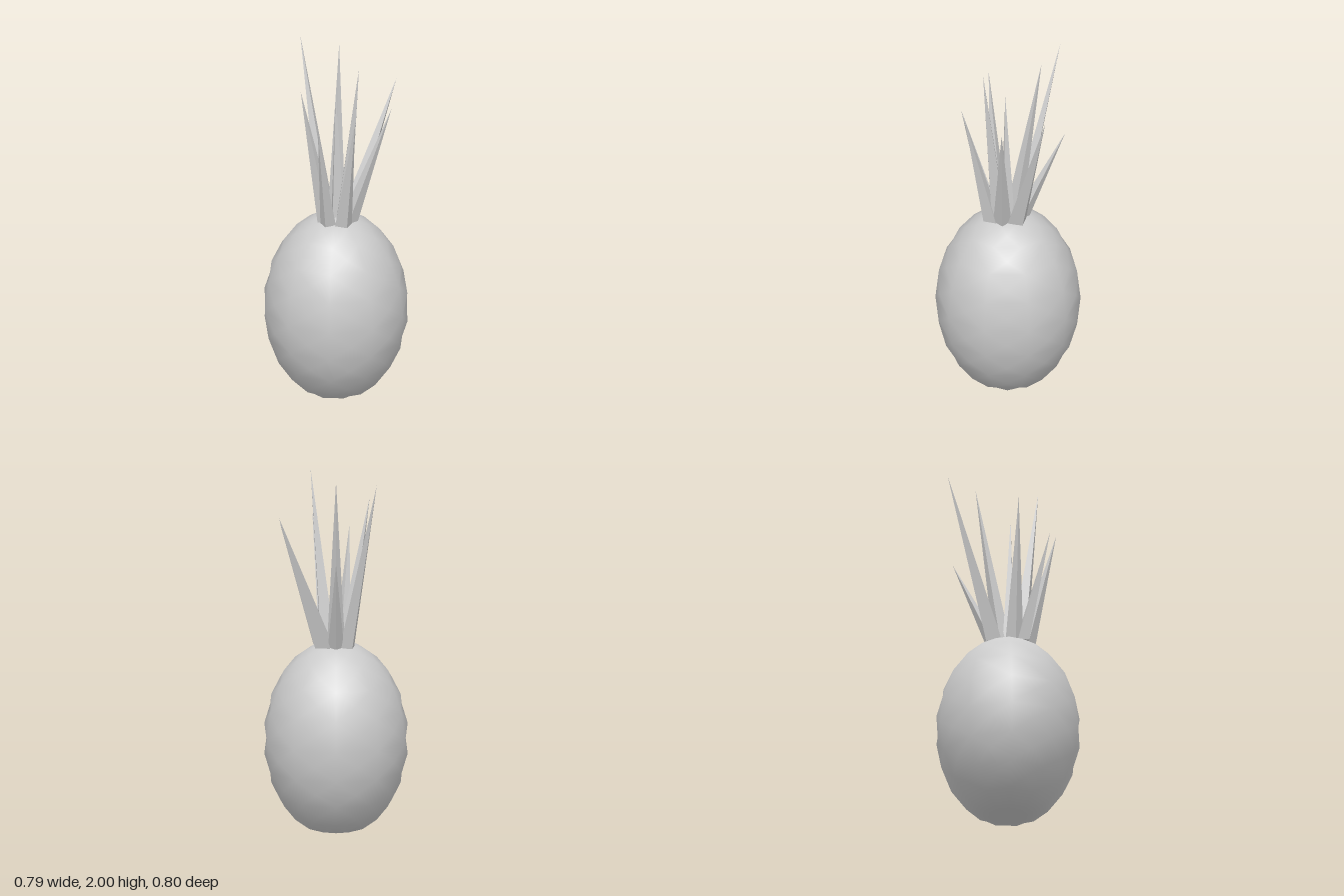
import * as THREE from 'three';

const SIDES = 10, STACKS = 10, RADIUS = 0.4, HALF = 0.55, CENTRE = 0.51;
const material = (options = {}) => new THREE.MeshStandardMaterial({ color: 0xcccccc, ...options });

// Ellipsoid of quads, each raised to a point at its middle; the underside is flattened at y = 0
function bodyGeometry() {
  const positions = [], index = [];
  const addPoint = (row, column) => {
    const lat = (row / STACKS - 0.5) * Math.PI, lon = column / SIDES * Math.PI * 2;
    const r = RADIUS * Math.cos(lat);
    positions.push(r * Math.sin(lon), Math.max(0, CENTRE + HALF * Math.sin(lat)), r * Math.cos(lon));
    return positions.length / 3 - 1;
  };
  const bottom = addPoint(0, 0), top = addPoint(STACKS, 0);
  const rings = [];
  for (let row = 1; row < STACKS; row++) {
    rings.push(Array.from({ length: SIDES }, (_, column) => addPoint(row, column)));
  }
  for (let i = 0; i < SIDES; i++) {
    const next = (i + 1) % SIDES;
    for (let k = 0; k < rings.length - 1; k++) {
      const a = rings[k][i], b = rings[k][next], c = rings[k + 1][next], d = rings[k + 1][i];
      const middle = addPoint(k + 1.5, i + 0.5);
      index.push(a, b, middle, b, c, middle, c, d, middle, d, a, middle);
    }
    const last = rings[rings.length - 1];
    index.push(bottom, rings[0][next], rings[0][i], top, last[i], last[next]);
  }
  const geometry = new THREE.BufferGeometry();
  geometry.setAttribute('position', new THREE.Float32BufferAttribute(positions, 3));
  geometry.setIndex(index);
  geometry.computeVertexNormals();
  return geometry;
}

// Four-sided spike leaning from its base centre to its tip
function leafGeometry([bx, bz, tx, ty, tz, radius]) {
  const baseY = 1.035, height = ty - baseY;
  const geometry = new THREE.ConeGeometry(radius, height, 4);
  geometry.rotateY(Math.atan2(tx - bx, tz - bz));
  geometry.translate(0, height / 2, 0);
  const p = geometry.attributes.position;
  for (let i = 0; i < p.count; i++) {
    const t = p.getY(i) / height;
    p.setXYZ(i, p.getX(i) + bx + (tx - bx) * t, p.getY(i) + baseY, p.getZ(i) + bz + (tz - bz) * t);
  }
  geometry.computeVertexNormals();
  return geometry;
}

export function createModel() {
  const model = new THREE.Group();
  model.name = 'pineapple';

  const body = new THREE.Mesh(bodyGeometry(), material());
  body.name = 'fruitBody';
  model.add(body);

  // Leaves: base x, base z, tip x, tip y, tip z, base radius
  const leaves = [
    [-0.06, -0.06, -0.225, 2.0, -0.285, 0.05],
    [0, -0.075, 0, 1.56, -0.315, 0.045],
    [0, -0.03, 0, 2.0, -0.185, 0.05],
    [0.065, -0.05, 0.315, 1.8, -0.21, 0.06],
    [0.075, 0.03, 0.31, 1.72, 0.03, 0.05],
    [0.045, 0.05, 0.14, 2.0, 0.135, 0.055],
    [0.05, 0.09, 0.13, 1.73, 0.24, 0.05],
    [-0.035, 0.09, -0.075, 1.66, 0.26, 0.045],
    [-0.05, 0.05, -0.185, 1.84, 0.11, 0.05],
    [0.01, 0, 0, 1.79, 0.015, 0.045],
  ];
  const crown = new THREE.Group();
  crown.name = 'leafCrown';
  const leafMaterial = material({ flatShading: true });
  for (const spec of leaves) {
    const leaf = new THREE.Mesh(leafGeometry(spec), leafMaterial);
    leaf.name = 'leaf';
    crown.add(leaf);
  }
  model.add(crown);
  return model;
}
